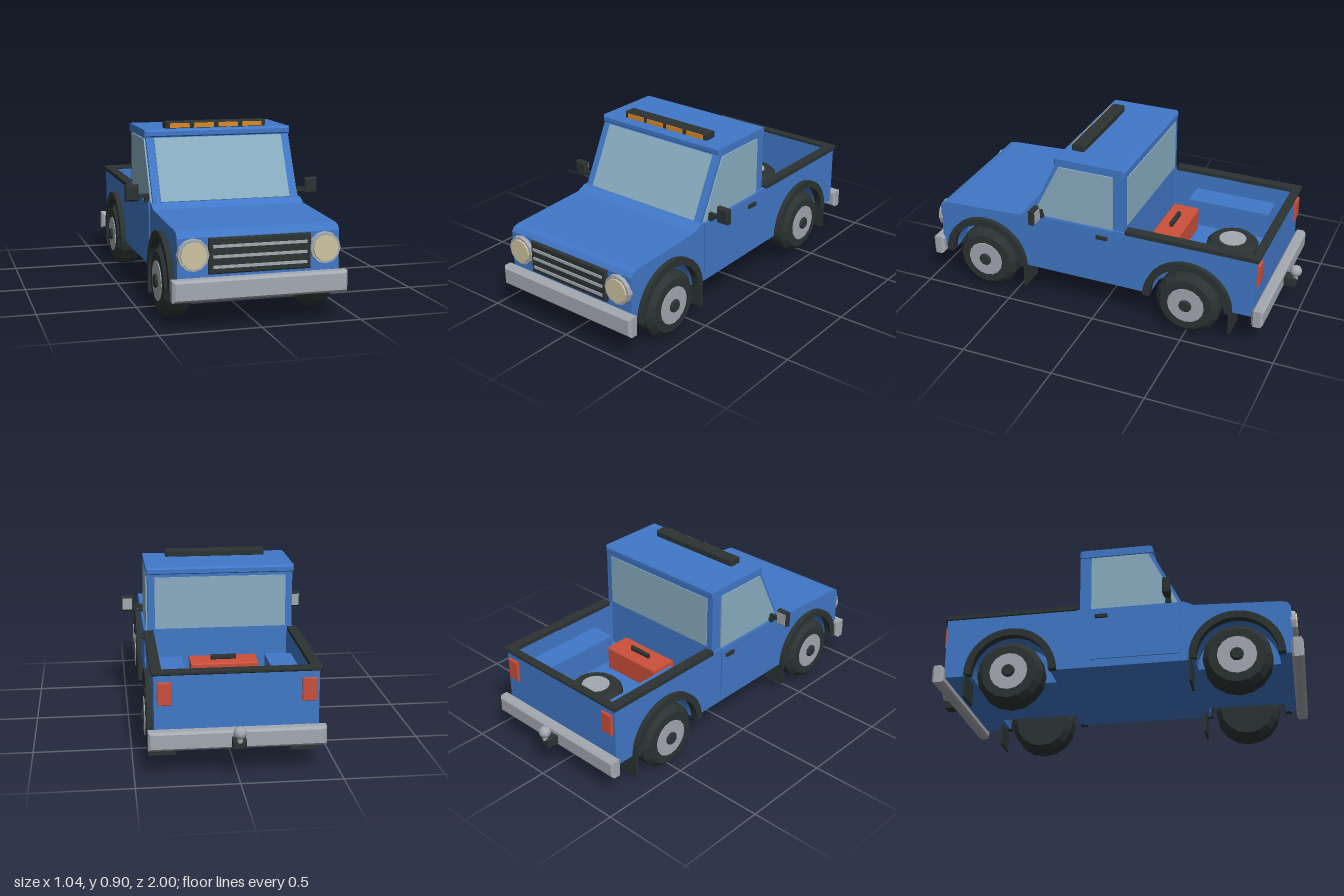
import * as THREE from 'three';

const mat = (name, color) => {
  const m = new THREE.MeshStandardMaterial({ color });
  m.name = name;
  return m;
};

export function createModel() {
  const blue = mat('body blue', 0x4178c8);
  const glass = mat('window glass', 0x8aaec2);
  const dark = mat('black rubber', 0x2b3332);
  const grey = mat('grey metal', 0xa4a8b0);
  const red = mat('red', 0xcc503c);
  const orange = mat('amber', 0xd98a2b);
  const cream = mat('headlamp cream', 0xcfc5a3);
  const truck = new THREE.Group();
  truck.name = 'pickupTruck';

  const add = (name, geo, material, parent = truck) => {
    const mesh = new THREE.Mesh(geo, material);
    mesh.name = name;
    parent.add(mesh);
    return mesh;
  };

  // Box given by its limits, with optional chamfered edges
  const box = (name, material, [x0, x1], [y0, y1], [z0, z1], c = 0, parent = truck) => {
    let geo;
    if (c > 0) {
      const s = new THREE.Shape([[x0 + c, y0 + c], [x1 - c, y0 + c], [x1 - c, y1 - c], [x0 + c, y1 - c]]
        .map(p => new THREE.Vector2(...p)));
      geo = new THREE.ExtrudeGeometry(s, {
        depth: z1 - z0 - 2 * c, bevelEnabled: true, bevelSize: c, bevelThickness: c, bevelSegments: 1,
      });
      geo.translate(0, 0, z0 + c);
    } else {
      geo = new THREE.BoxGeometry(x1 - x0, y1 - y0, z1 - z0);
      geo.translate((x0 + x1) / 2, (y0 + y1) / 2, (z0 + z1) / 2);
    }
    return add(name, geo, material, parent);
  };

  // Extrude a (z, y) outline across x
  const slab = (name, material, shape, x0, x1) => {
    const geo = new THREE.ExtrudeGeometry(shape, { depth: x1 - x0, bevelEnabled: false, curveSegments: 12 });
    geo.rotateY(-Math.PI / 2).translate(x1, 0, 0);
    return add(name, geo, material);
  };

  // Outline listed from its rear bottom corner to its front bottom corner, with an optional wheel arch
  const outline = (points, archZ) => {
    const s = new THREE.Shape();
    points.forEach(([z, y], i) => (i ? s.lineTo(z, y) : s.moveTo(z, y)));
    if (archZ !== undefined) {
      s.lineTo(archZ + 0.21, 0.18);
      s.absarc(archZ, 0.18, 0.21, 0, Math.PI, false);
    }
    s.closePath();
    return s;
  };

  const FRONT = 0.67, REAR = -0.5;
  const nose = [[-0.14, 0.18], [-0.14, 0.512], [0.41, 0.512], [0.46, 0.488], [0.9, 0.47], [0.935, 0.462], [0.95, 0.44], [0.95, 0.18]];
  const bedSide = [[-0.855, 0.18], [-0.855, 0.512], [-0.14, 0.512], [-0.14, 0.18]];
  const well = [[-0.855, 0.18], [-0.855, 0.27], [-0.74, 0.27], [-0.74, 0.42], [-0.28, 0.42], [-0.28, 0.27], [-0.14, 0.27], [-0.14, 0.18]];

  // Front body, cab and roof
  slab('frontBodyCentre', blue, outline(nose), -0.27, 0.27);
  slab('cab', blue, outline([[-0.14, 0.51], [-0.14, 0.835], [0.24, 0.835], [0.4, 0.51]]), -0.387, 0.387);
  box('roof', blue, [-0.395, 0.395], [0.825, 0.867], [-0.145, 0.25], 0.01);
  const windshield = add('windshield', new THREE.BoxGeometry(0.69, 0.345, 0.008), glass);
  windshield.position.set(0, 0.669, 0.323);
  windshield.rotation.x = -Math.atan2(0.16, 0.325);
  box('rearWindow', glass, [-0.35, 0.35], [0.535, 0.815], [-0.145, -0.138]);

  // Bed floor, tailgate and rails
  box('bedFloor', blue, [-0.24, 0.24], [0.18, 0.27], [-0.855, -0.14]);
  box('tailgate', blue, [-0.36, 0.36], [0.18, 0.512], [-0.855, -0.825]);
  box('rearRail', dark, [-0.412, 0.412], [0.51, 0.532], [-0.87, -0.825], 0.005);

  // Wheel turned about the x axis, outer face towards +x
  const makeWheel = (name, r, rim, half) => {
    const wheel = new THREE.Group();
    wheel.name = name;
    const turn = (part, pts, material) => {
      const geo = new THREE.LatheGeometry(pts.map(p => new THREE.Vector2(...p)), 16).toNonIndexed();
      geo.rotateZ(-Math.PI / 2);
      geo.computeVertexNormals();
      add(part, geo, material, wheel);
    };
    const c = r * 0.17;
    turn('tyre', [[0, -half], [r - c, -half], [r, -half + c], [r, half - c], [r - c, half], [rim, half], [0, half - 0.01]], dark);
    turn('rim', [[rim, half - 0.012], [rim, half + 0.004], [0, half + 0.004]], grey);
    return { wheel, turn };
  };

  for (const s of [1, -1]) {
    const side = s > 0 ? 'left' : 'right';
    const span = (a, b) => (s > 0 ? [a, b] : [-b, -a]);

    // Body sides with wheel arches
    slab(side + 'FrontBodySide', blue, outline(nose, FRONT), ...span(0.27, 0.4));
    slab(side + 'BedWall', blue, outline(bedSide, REAR), ...span(0.36, 0.4));
    slab(side + 'WheelWell', blue, outline(well, REAR), ...span(0.24, 0.36));
    box(side + 'WheelWellInner', blue, span(0.22, 0.24), [0.18, 0.42], [-0.74, -0.28]);
    box(side + 'BedRail', dark, span(0.36, 0.412), [0.51, 0.532], [-0.865, -0.15], 0.005);

    // Door, side window and handle
    box(side + 'Door', blue, span(0.398, 0.406), [0.222, 0.508], [-0.08, 0.385]);
    slab(side + 'SideWindow', glass,
      outline([[-0.078, 0.512], [-0.078, 0.82], [0.225, 0.82], [0.38, 0.512]]), ...span(0.386, 0.395));
    box(side + 'DoorHandle', dark, span(0.404, 0.418), [0.453, 0.472], [-0.055, 0.012], 0.004);

    // Mirror
    box(side + 'MirrorArm', dark, span(0.385, 0.455), [0.53, 0.55], [0.322, 0.342]);
    box(side + 'MirrorBase', dark, span(0.395, 0.415), [0.508, 0.53], [0.315, 0.345]);
    box(side + 'MirrorHousing', dark, span(0.448, 0.518), [0.517, 0.6], [0.313, 0.35], 0.007);
    box(side + 'MirrorGlass', grey, span(0.456, 0.51), [0.526, 0.591], [0.309, 0.314]);

    // Headlamp and tail lamp
    for (const [part, r, depth, m] of [['HeadlampRing', 0.08, 0.025, grey], ['HeadlampLens', 0.066, 0.033, cream]]) {
      const lamp = add(side + part, new THREE.CylinderGeometry(r * 0.95, r, depth, 12).toNonIndexed(), m);
      lamp.geometry.computeVertexNormals();
      lamp.rotation.x = Math.PI / 2;
      lamp.position.set(s * 0.325, 0.36, 0.945 + depth / 2);
    }
    box(side + 'TailLamp', red, span(0.315, 0.385), [0.36, 0.475], [-0.868, -0.85], 0.003);

    // Wheels, arch flares and mud flaps
    for (const [end, z] of [['Front', FRONT], ['Rear', REAR]]) {
      const { wheel, turn } = makeWheel(side + end + 'Wheel', 0.175, 0.1, 0.07);
      turn('hubCap', [[0.034, 0.06], [0.034, 0.082], [0.028, 0.088], [0, 0.088]], dark);
      wheel.position.set(s * 0.36, 0.178, z);
      wheel.rotation.y = s > 0 ? 0 : Math.PI;
      truck.add(wheel);

      const flare = new THREE.Shape();
      flare.absarc(z, 0.18, 0.243, 0, Math.PI, false);
      flare.absarc(z, 0.18, 0.205, Math.PI, 0, true);
      flare.closePath();
      slab(side + end + 'Flare', dark, flare, ...span(0.385, 0.428));
      box(side + end + 'MudFlap', dark, span(0.285, 0.425), [0.058, 0.2], [z - 0.242, z - 0.23]);
    }
  }

  // Grille
  box('grille', dark, [-0.252, 0.252], [0.265, 0.437], [0.94, 0.967], 0.006);
  for (const y of [0.3, 0.349, 0.398]) {
    box('grilleSlat', grey, [-0.232, 0.232], [y - 0.007, y + 0.007], [0.96, 0.973]);
  }

  // Bumpers and tow hitch
  box('frontBumper', grey, [-0.432, 0.432], [0.145, 0.25], [0.938, 1.0], 0.012);
  box('rearBumper', grey, [-0.432, 0.432], [0.145, 0.24], [-0.912, -0.85], 0.012);
  box('hitchArm', dark, [-0.033, 0.033], [0.165, 0.21], [-0.975, -0.9], 0.006);
  const stem = add('hitchStem', new THREE.CylinderGeometry(0.014, 0.014, 0.04, 10), grey);
  stem.position.set(0, 0.22, -0.967);
  const ball = add('hitchBall', new THREE.SphereGeometry(0.032, 12, 8), grey);
  ball.position.set(0, 0.248, -0.967);

  // Roof light bar
  box('lightBar', dark, [-0.273, 0.273], [0.863, 0.901], [0.13, 0.203], 0.006);
  for (const x of [-0.197, -0.066, 0.066, 0.197]) {
    box('amberLight', orange, [x - 0.053, x + 0.053], [0.87, 0.894], [0.2, 0.209]);
  }

  // Toolbox and spare wheel in the bed
  box('toolbox', red, [-0.177, 0.177], [0.27, 0.4], [-0.355, -0.205], 0.006);
  box('toolboxHandle', dark, [-0.067, 0.067], [0.398, 0.424], [-0.29, -0.268], 0.005);
  for (const x of [-0.123, 0.123]) {
    box('toolboxLatch', orange, [x - 0.015, x + 0.015], [0.345, 0.375], [-0.208, -0.199]);
  }
  const { wheel: spare } = makeWheel('spareWheel', 0.14, 0.073, 0.047);
  spare.rotation.z = Math.PI / 2;
  spare.position.set(0, 0.317, -0.61);
  truck.add(spare);

  return truck;
}
